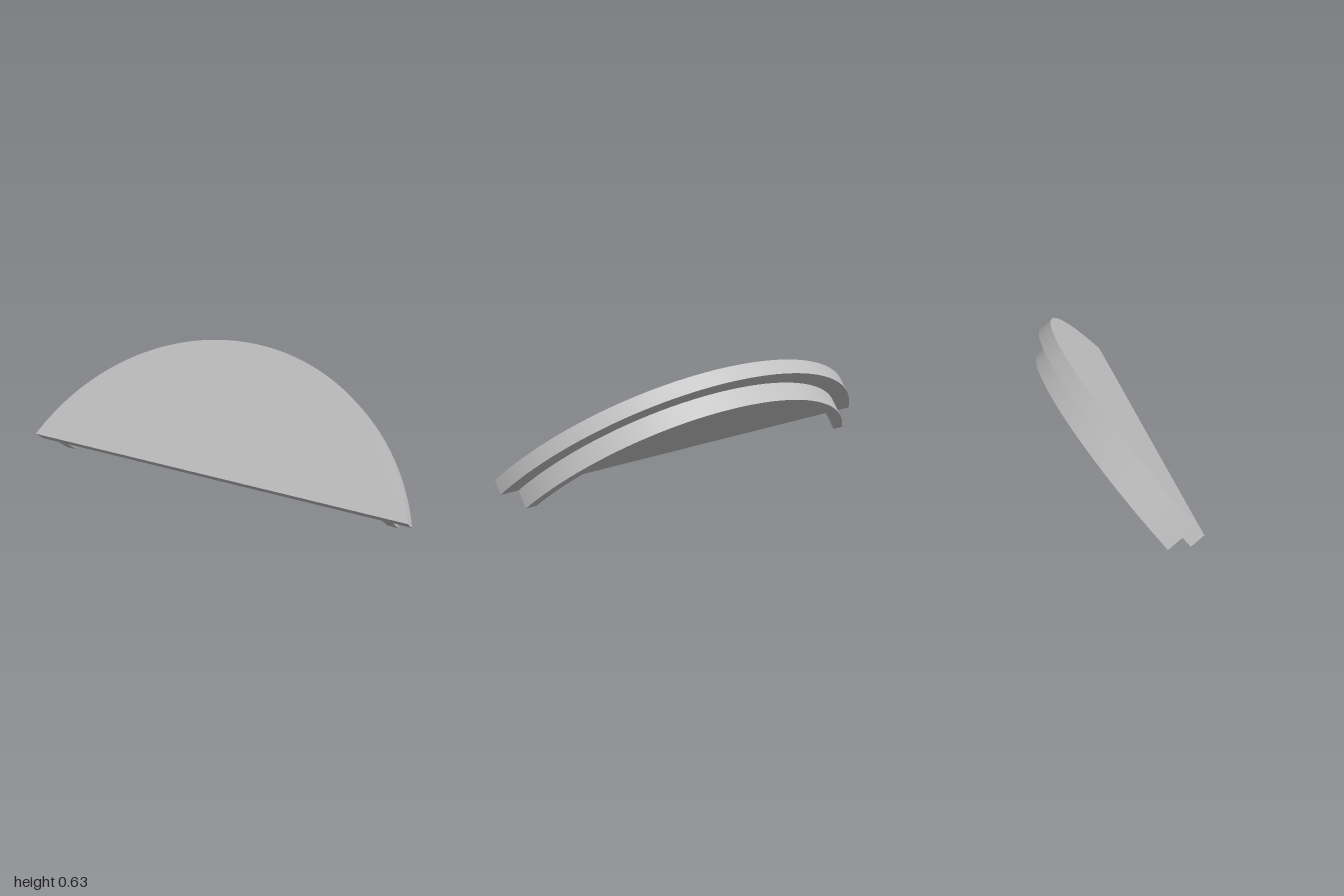
import * as THREE from 'three';
import { toCreasedNormals } from 'three/addons/utils/BufferGeometryUtils.js';

const SLAB_R = 1.075;    // radius of the lid's curved edge
const CENTRE = -0.394;   // arc centre, below the straight edge
const SLAB_T = 0.078;
const RIM_T = 0.098;

// Points along an arc about the shared centre, cut off by the straight edge.
function arcPoints(radius, steps = 72) {
  const start = Math.asin(-CENTRE / radius);
  return Array.from({ length: steps + 1 }, (_, i) => {
    const a = start + (Math.PI - 2 * start) * i / steps;
    return new THREE.Vector2(radius * Math.cos(a), CENTRE + radius * Math.sin(a));
  });
}

// Extrudes an outline so that its front lies at the given z.
function plate(name, points, front, depth, material) {
  const geometry = new THREE.ExtrudeGeometry(new THREE.Shape(points), { depth, bevelEnabled: false });
  geometry.translate(0, 0, front - depth);
  const mesh = new THREE.Mesh(toCreasedNormals(geometry, Math.PI / 6), material);
  mesh.name = name;
  return mesh;
}

export function createModel() {
  const grey = new THREE.MeshStandardMaterial({ color: 0xc0c0c0 });
  grey.name = 'light grey';

  const group = new THREE.Group();
  group.name = 'halfRoundLid';

  // Leaning lid panel with a curved rim set in behind it
  const lid = new THREE.Group();
  lid.name = 'lid';
  lid.add(plate('panel', arcPoints(SLAB_R), 0, SLAB_T, grey));
  const rim = [...arcPoints(0.99), ...arcPoints(0.94).reverse()];
  lid.add(plate('rim', rim, -SLAB_T, RIM_T, grey));

  lid.rotation.x = -THREE.MathUtils.degToRad(40);
  lid.position.set(0, (SLAB_T + RIM_T) * Math.sin(THREE.MathUtils.degToRad(40)), 0.26);
  group.add(lid);
  return group;
}
